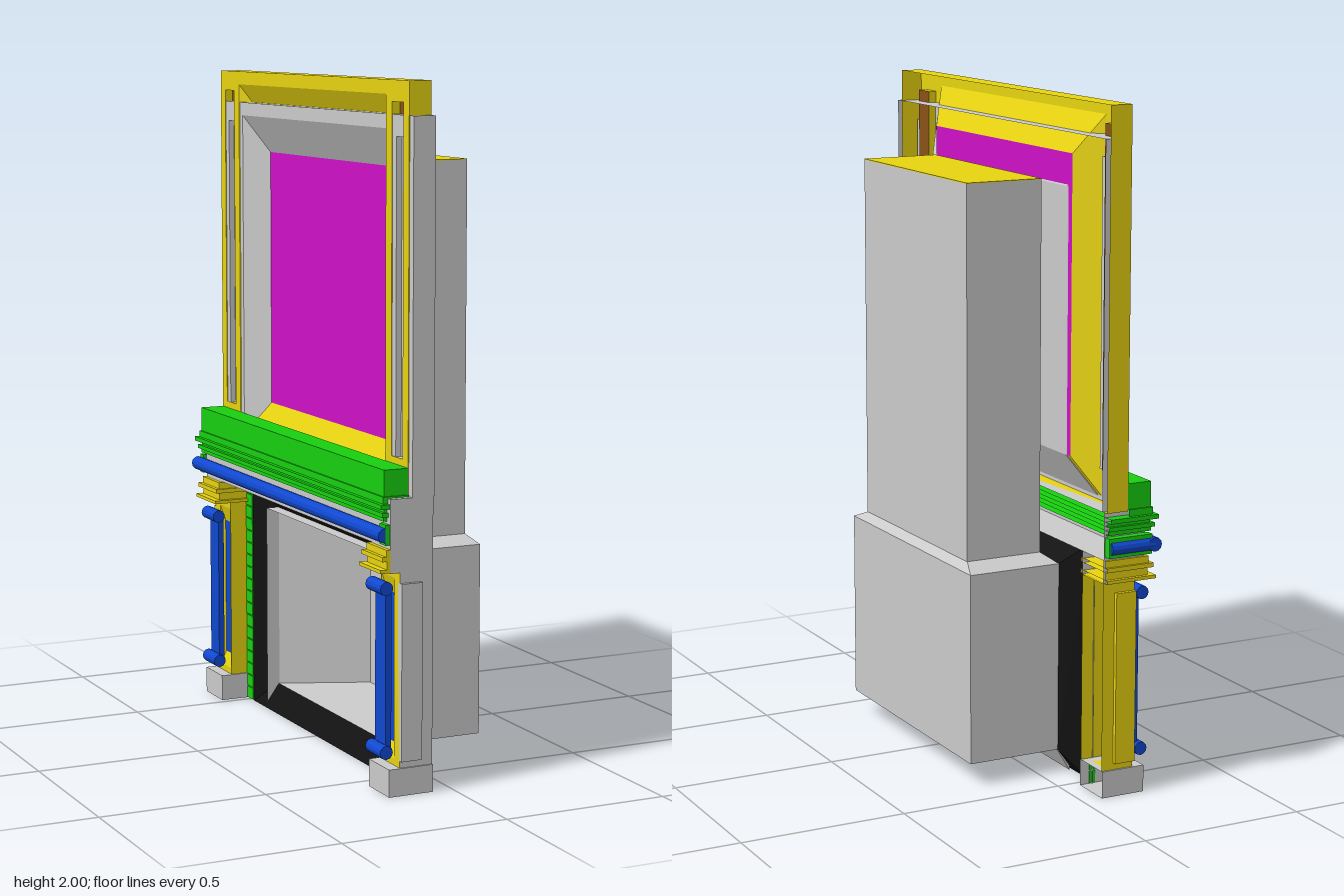
import * as THREE from 'three';

const GREY = 0xcccccc, YELLOW = 0xe8d410, GREEN = 0x18d010, BLUE = 0x1048d0,
  BROWN = 0x8a5218, MAGENTA = 0xd010c8, BLACK = 0x101010;
const materials = {};
const mat = (c) => materials[c] ??= new THREE.MeshStandardMaterial({ color: c, flatShading: true, side: THREE.DoubleSide });

function add(group, name, geometry, color) {
  const mesh = new THREE.Mesh(geometry, mat(color));
  mesh.name = name;
  group.add(mesh);
}

// Box from its limits
function box(group, name, color, x0, x1, y0, y1, z0, z1) {
  const g = new THREE.BoxGeometry(x1 - x0, y1 - y0, z1 - z0);
  g.translate((x0 + x1) / 2, (y0 + y1) / 2, (z0 + z1) / 2);
  add(group, name, g, color);
}

// Four walls joining rectangle a at depth xa to rectangle b at depth xb; rect = [z0, z1, y0, y1]
function band(group, name, color, a, xa, b, xb) {
  const ring = ([z0, z1, y0, y1], x) => [[x, y0, z0], [x, y0, z1], [x, y1, z1], [x, y1, z0]];
  const A = ring(a, xa), B = ring(b, xb), pos = [];
  for (let i = 0; i < 4; i++) {
    const j = (i + 1) % 4;
    pos.push(...A[i], ...A[j], ...B[j], ...A[i], ...B[j], ...B[i]);
  }
  const g = new THREE.BufferGeometry();
  g.setAttribute('position', new THREE.Float32BufferAttribute(pos, 3));
  g.computeVertexNormals();
  add(group, name, g, color);
}

// Flat upright panel facing along x
function panel(group, name, color, [z0, z1, y0, y1], x) {
  const g = new THREE.PlaneGeometry(z1 - z0, y1 - y0);
  g.rotateY(-Math.PI / 2);
  g.translate(x, (y0 + y1) / 2, (z0 + z1) / 2);
  add(group, name, g, color);
}

// Tray: a front panel with side walls running back, open behind
function tray(group, name, color, rect, front, back) {
  band(group, name + 'Walls', color, rect, front, rect, back);
  panel(group, name + 'Face', color, rect, front);
}

// Upright sheet in the z-y plane with rectangular openings
function sheet(group, name, color, outer, holes, x) {
  const trace = (p, [z0, z1, y0, y1]) =>
    p.moveTo(z0, y0).lineTo(z1, y0).lineTo(z1, y1).lineTo(z0, y1).closePath();
  const s = trace(new THREE.Shape(), outer);
  for (const h of holes) s.holes.push(trace(new THREE.Path(), h));
  const g = new THREE.ShapeGeometry(s);
  g.rotateY(-Math.PI / 2);
  g.translate(x, 0, 0);
  add(group, name, g, color);
}

// Horizontal roll, along z or along x
function roll(group, name, color, x, y, z, r, length, alongX = false) {
  const g = new THREE.CylinderGeometry(r, r, length, 12);
  if (alongX) g.rotateZ(Math.PI / 2);
  else g.rotateX(Math.PI / 2);
  g.translate(x, y, z);
  add(group, name, g, color);
}

// Hollow overmantel frame with grooved stiles and a sunken centre panel
function overmantel(name, color, panelColor, grooveColor, dz, top, dx) {
  const g = new THREE.Group();
  g.name = name;
  const front = -0.13 + dx, back = -0.062 + dx, grooveBack = -0.105 - dx * 3;
  const outer = [-0.658 + dz, 0.658 + dz, 0.85, top];
  const opening = [-0.515 + dz, 0.515 + dz, 0.86, top - 0.04];
  const centre = [-0.43 + dz, 0.43 + dz, 0.97, top - 0.155];
  const grooves = [-0.588, 0.588].map((z) => [z - 0.035 + dz, z + 0.035 + dz, 0.95, top - 0.06]);
  sheet(g, 'frameFace', color, outer, [opening, ...grooves], front);
  band(g, 'frameEdge', color, outer, front, outer, back);
  band(g, 'slopedSurround', color, opening, front, centre, back - 0.008);
  panel(g, 'centrePanel', panelColor, centre, back - 0.008);
  for (const r of grooves) {
    band(g, 'grooveWalls', color, r, front, r, grooveBack);
    panel(g, 'groovePanel', grooveColor, r, grooveBack);
  }
  return g;
}

// Pilaster with plinth, scrolled panel and capital
function pilaster(side) {
  const g = new THREE.Group();
  g.name = side > 0 ? 'leftPilaster' : 'rightPilaster';
  const c = side * 0.6 + 0.014;
  const flank = side > 0 ? GREY : YELLOW;
  const rect = (mid, w, y0, y1) => [mid - w, mid + w, y0, y1];
  const inner = c - side * 0.016;
  const shaft = rect(c, 0.06, 0.08, 0.64), inset = rect(inner, 0.04, 0.1, 0.62), field = rect(inner, 0.032, 0.14, 0.57);
  tray(g, 'plinth', GREY, rect(c, 0.065, 0, 0.08), -0.2, -0.062);
  band(g, 'shaft', flank, shaft, -0.165, shaft, -0.062);
  sheet(g, 'shaftFace', YELLOW, shaft, [inset], -0.165);
  band(g, 'panelFrame', YELLOW, inset, -0.165, field, -0.15);
  panel(g, 'shaftPanel', BLUE, field, -0.15);
  box(g, 'scrollPanel', BLUE, -0.196, -0.178, 0.125, 0.595, c - 0.033, c + 0.033);
  for (const y of [0.125, 0.595]) roll(g, 'scrollEnd', BLUE, -0.2, y, c, 0.02, 0.095);
  // Raised panel on the outer flank
  const z = c + side * 0.06;
  box(g, 'sidePanel', flank, -0.165, -0.1, 0.1, 0.61, z - 0.012, z + 0.012);
  // Capital with thin stepped mouldings, returned along the right flank
  tray(g, 'capital', GREY, rect(c, 0.06, 0.64, 0.71), -0.195, -0.062);
  [[0.642, 0.652, 0.03], [0.652, 0.675, 0.01], [0.675, 0.688, 0.024], [0.688, 0.708, 0.012]].forEach(([y0, y1, o]) => {
    tray(g, 'capitalStep', YELLOW, [c - 0.06 - o * 0.6, Math.min(c + 0.06 + o * 0.6, 0.673), y0, y1],
      -0.195 - o, side > 0 ? -0.19 : -0.065);
  });
  return g;
}

export function createModel() {
  const model = new THREE.Group();
  model.name = 'fireplace';

  // Upper part: coloured frame with a lower grey lining
  model.add(overmantel('overmantelFrame', YELLOW, MAGENTA, BROWN, -0.006, 2, 0));
  model.add(overmantel('overmantelLining', GREY, GREY, GREY, 0.018, 1.905, 0.002));

  for (const s of [-1, 1]) model.add(pilaster(s));

  // Mantel shelf: hollow frieze and stepped mouldings with returned ends
  const mantel = new THREE.Group();
  mantel.name = 'mantel';
  model.add(mantel);
  tray(mantel, 'frieze', GREY, [-0.648, 0.674, 0.71, 0.85], -0.195, -0.062);
  const steps = [[0.855, 0.93, 0.205, -0.13], [0.835, 0.855, 0.21, -0.13], [0.822, 0.835, 0.222, -0.065],
    [0.81, 0.822, 0.204, -0.065], [0.798, 0.81, 0.214, -0.065], [0.785, 0.798, 0.206, -0.065]];
  for (const [y0, y1, d, back] of steps)
    tray(mantel, 'moulding', GREEN, [-0.459 - d, 0.447 + d, y0, y1], -d, back);
  roll(mantel, 'friezeRail', BLUE, -0.21, 0.748, -0.008, 0.021, 1.355);
  roll(mantel, 'railReturn', BLUE, -0.14, 0.748, -0.667, 0.02, 0.14, true);
  box(mantel, 'rightRailBacking', GREEN, -0.205, -0.065, 0.72, 0.778, -0.675, -0.65);
  box(mantel, 'leftRailBacking', GREEN, -0.208, -0.19, 0.72, 0.778, 0.63, 0.67);

  // Surround of the opening: jambs, ribbed tile strips and splayed reveal
  const surround = new THREE.Group();
  surround.name = 'surround';
  model.add(surround);
  panel(surround, 'leftJamb', GREY, [0.465, 0.555, 0, 0.71], -0.09);
  panel(surround, 'rightJamb', GREY, [-0.53, -0.475, 0, 0.71], -0.1);
  for (const z of [-0.5, 0.5])
    for (let i = 0; i < 18; i++)
      box(surround, 'tile', GREEN, -0.112, -0.092, 0.002 + i * 0.0393, 0.038 + i * 0.0393, z - 0.024, z + 0.024);
  const mouth = [-0.39, 0.41, 0.07, 0.64];
  band(surround, 'reveal', BLACK, [-0.475, 0.465, 0, 0.71], -0.11, mouth, -0.06);
  band(surround, 'revealLining', GREY, [-0.39, 0.485, 0, 0.64], -0.1, mouth, -0.058);

  // Firebox: outer casing, splayed inner walls and back
  const firebox = new THREE.Group();
  firebox.name = 'firebox';
  model.add(firebox);
  const hearthBack = [-0.26, 0.26, 0.075, 0.6];
  band(firebox, 'casing', GREY, mouth, -0.06, mouth, 0.23);
  panel(firebox, 'casingBack', GREY, mouth, 0.23);
  band(firebox, 'innerWalls', GREY, mouth, -0.058, hearthBack, 0.2);
  panel(firebox, 'innerBack', GREY, hearthBack, 0.2);

  // Shoulder tapering from firebox to chimney: a box with its top narrowed
  const shoulder = new THREE.BoxGeometry(0.29, 0.024, 0.8);
  const p = shoulder.attributes.position;
  for (let i = 0; i < p.count; i++)
    if (p.getY(i) > 0) p.setXYZ(i, p.getX(i) > 0 ? 0.125 : -0.115, p.getY(i), Math.sign(p.getZ(i)) * 0.34);
  shoulder.translate(0.085, 0.652, 0.01);
  add(model, 'shoulder', shoulder, GREY);
  box(model, 'chimney', GREY, -0.03, 0.21, 0.66, 1.762, -0.328, 0.352);
  box(model, 'chimneyCap', YELLOW, -0.03, 0.21, 1.762, 1.765, -0.328, 0.352);
  return model;
}
